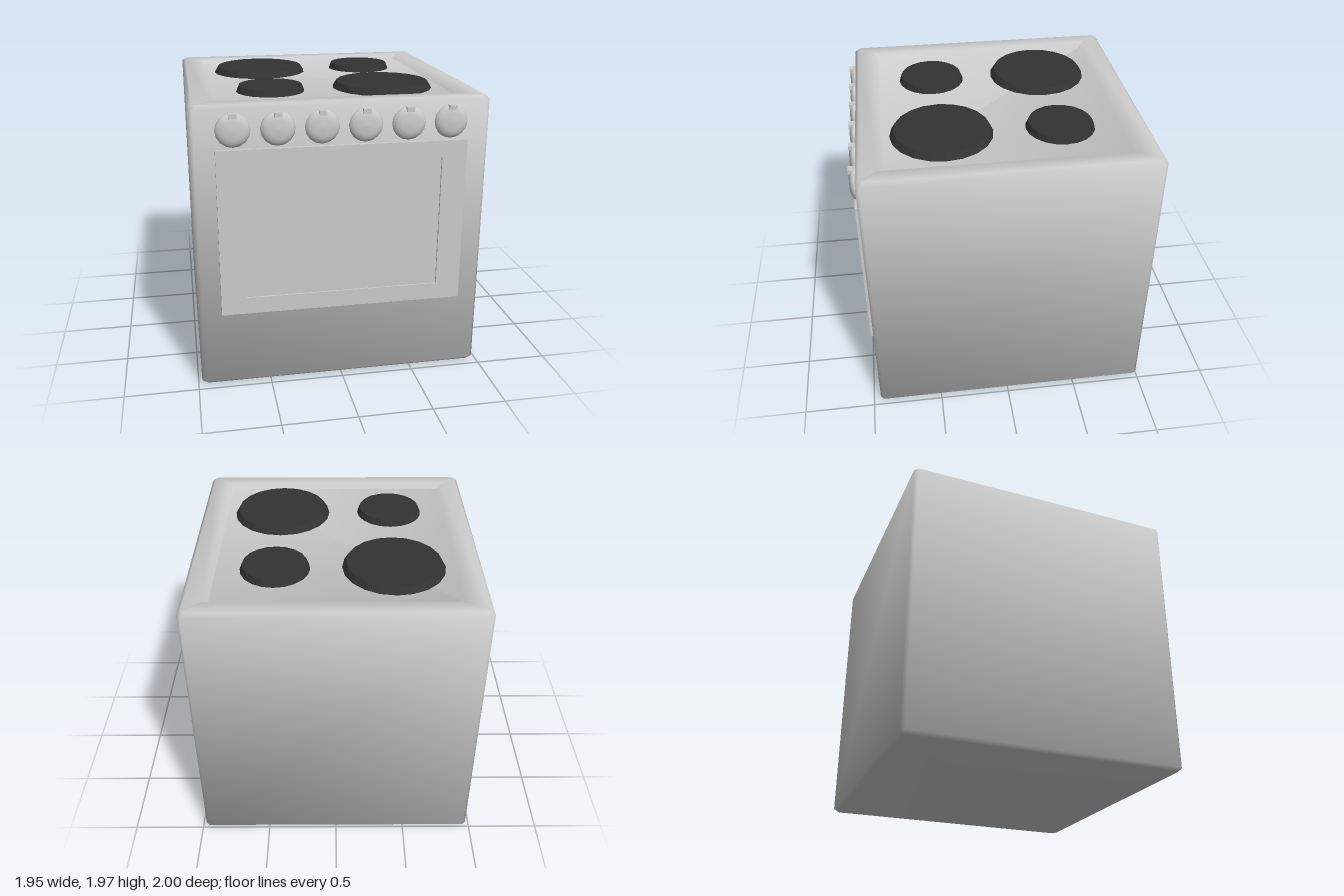
import * as THREE from 'three';

const grey = new THREE.MeshStandardMaterial({ color: 0xcccccc });
const greyFlat = new THREE.MeshStandardMaterial({ color: 0xcccccc, flatShading: true });
const dark = new THREE.MeshStandardMaterial({ color: 0x333333, flatShading: true });

const CENTRE_Z = -0.025; // the cabinet sits back a little to leave room for the knobs
const FRONT = 0.95;

function addMesh(parent, name, geometry, material, x = 0, y = 0, z = 0) {
  const mesh = new THREE.Mesh(geometry, material);
  mesh.name = name;
  mesh.position.set(x, y, z);
  parent.add(mesh);
  return mesh;
}

// Chamfered square rings stacked along a profile of [half width, height, chamfer],
// with soft normals that weigh every neighbouring face alike
function squareLoft(profile) {
  const pos = [], index = [];
  for (const [h, y, c] of profile) {
    const a = h - c;
    for (const [x, z] of [[a, h], [h, a], [h, -a], [a, -h], [-a, -h], [-h, -a], [-h, a], [-a, h]]) pos.push(x, y, z);
  }
  const last = profile.length - 1;
  for (let r = 0; r < last; r++) {
    for (let i = 0; i < 8; i++) {
      const j = (i + 1) % 8, a = r * 8 + i, b = r * 8 + j;
      index.push(a, b, b + 8, a, b + 8, a + 8);
    }
  }
  // closed bottom and top
  for (let i = 1; i < 7; i++) {
    index.push(0, i + 1, i);
    index.push(last * 8, last * 8 + i, last * 8 + i + 1);
  }
  const normals = Array.from({ length: pos.length / 3 }, () => new THREE.Vector3());
  const point = (i) => new THREE.Vector3().fromArray(pos, i * 3);
  for (let f = 0; f < index.length; f += 3) {
    const [a, b, c] = index.slice(f, f + 3).map(point);
    const n = b.sub(a).cross(c.sub(a)).normalize();
    for (let k = 0; k < 3; k++) normals[index[f + k]].add(n);
  }
  const geometry = new THREE.BufferGeometry();
  geometry.setAttribute('position', new THREE.Float32BufferAttribute(pos, 3));
  geometry.setAttribute('normal', new THREE.Float32BufferAttribute(normals.flatMap((n) => n.normalize().toArray()), 3));
  geometry.setIndex(index);
  return geometry;
}

function rectangle(PathType, w, y0, y1) {
  return new PathType([[-w, y0], [w, y0], [w, y1], [-w, y1]].map(([x, y]) => new THREE.Vector2(x, y)));
}

export function createModel() {
  const stove = new THREE.Group();
  stove.name = 'stove';

  // Cabinet with bevelled edges and a shallow sunken hob
  addMesh(stove, 'cabinet', squareLoft([
    [0.95, 0, 0.02],
    [0.975, 0.025, 0.025],
    [0.975, 1.925, 0.025],
    [0.95, 1.95, 0.02],
    [0.835, 1.95, 0.01],
    [0.805, 1.92, 0.01],
  ]), grey, 0, 0, CENTRE_Z);

  // Hot plates: two large, two small, with sloping sides
  const plates = [[-0.39, -0.4, 0.35], [0.39, 0.38, 0.35], [0.405, -0.42, 0.237], [-0.4, 0.39, 0.237]];
  for (const [x, z, r] of plates) {
    addMesh(stove, 'hotPlate', new THREE.CylinderGeometry(r * 0.915, r, 0.05, 20), dark, x, 1.94, z);
  }

  // Oven door: a frame around a slightly sunken window
  const door = new THREE.Group();
  door.name = 'ovenDoor';
  stove.add(door);
  const frame = rectangle(THREE.Shape, 0.822, 0.535, 1.67);
  frame.holes.push(rectangle(THREE.Path, 0.655, 0.65, 1.555));
  addMesh(door, 'doorFrame', new THREE.ExtrudeGeometry(frame, { depth: 0.028, bevelEnabled: false }), greyFlat, 0, 0, FRONT);
  addMesh(door, 'doorWindow', new THREE.BoxGeometry(1.31, 0.905, 0.015), greyFlat, 0, 1.1025, FRONT + 0.0075);

  // Row of six domed knobs, each with a small pointer at the top
  const profile = [[0.108, 0], [0.112, 0.012], [0.105, 0.025], [0.088, 0.037], [0.06, 0.046], [0, 0.049]];
  const domeGeometry = new THREE.LatheGeometry(profile.map(([r, h]) => new THREE.Vector2(r, h)), 16);
  domeGeometry.rotateX(Math.PI / 2);
  const pointerGeometry = new THREE.BoxGeometry(0.05, 0.03, 0.049);
  for (let i = 0; i < 6; i++) {
    const knob = new THREE.Group();
    knob.name = 'knob';
    knob.position.set((i - 2.5) * 0.283, 1.795, FRONT);
    addMesh(knob, 'knobDome', domeGeometry, grey);
    addMesh(knob, 'knobPointer', pointerGeometry, greyFlat, 0, 0.093, 0.0245);
    stove.add(knob);
  }

  return stove;
}
